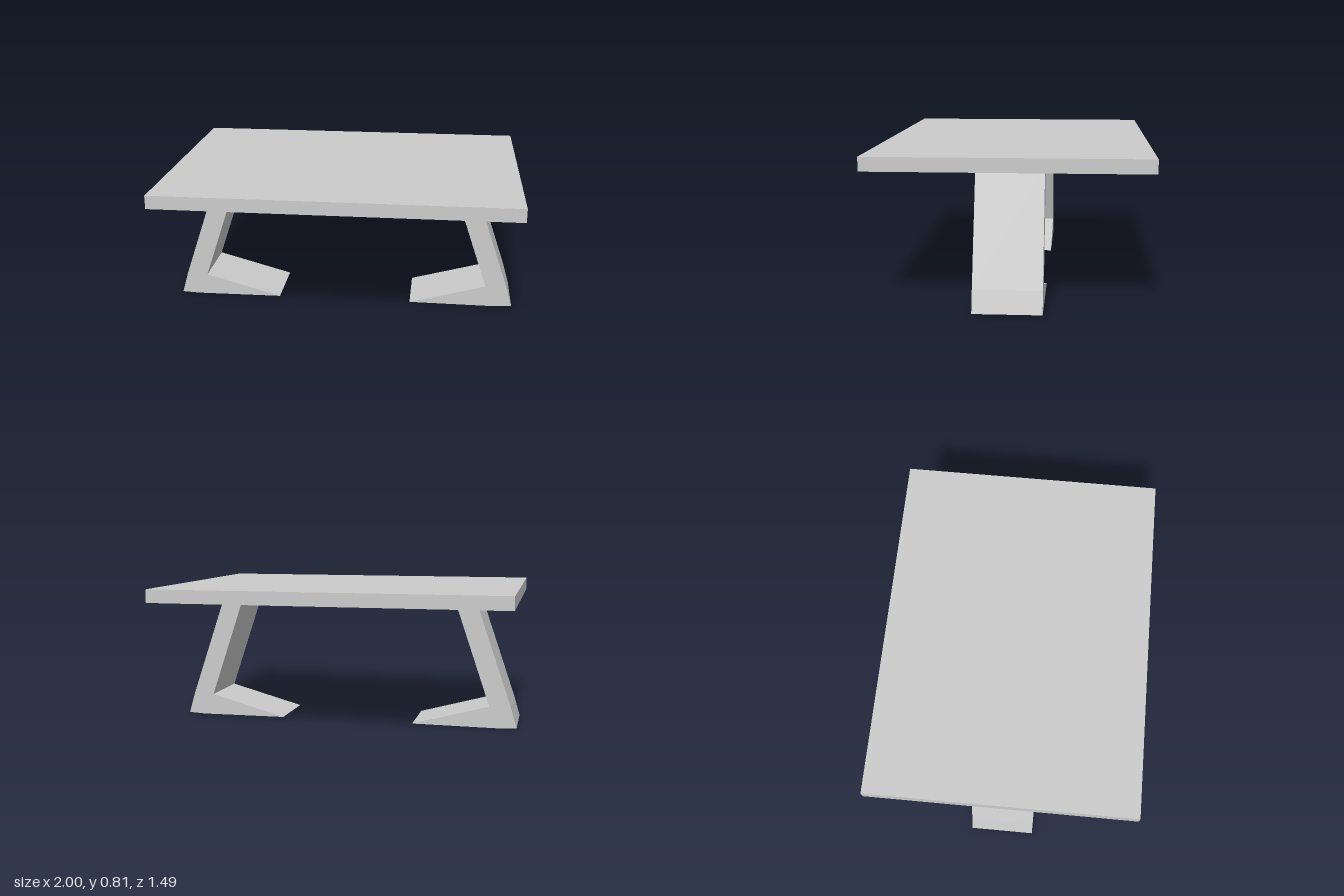
import * as THREE from 'three';

const TOP_Y = 0.81, TOP_THICKNESS = 0.075, LEG_WIDTH = 0.365;

// Leg outline for the +x side: slanted post above a wedge-shaped foot
const LEG_PROFILE = [
  [0.635, 0.735], [0.842, 0.125], [0.395, 0.003], [0.9, 0],
  [1, 0.005], [0.965, 0.125], [0.756, 0.735],
];

function createLeg(side, material) {
  const shape = new THREE.Shape(LEG_PROFILE.map(([x, y]) => new THREE.Vector2(side * x, y)));
  const geometry = new THREE.ExtrudeGeometry(shape, { depth: LEG_WIDTH, bevelEnabled: false });
  geometry.translate(0, 0, -LEG_WIDTH / 2);
  const leg = new THREE.Mesh(geometry, material);
  leg.name = side > 0 ? 'leftLeg' : 'rightLeg';
  return leg;
}

export function createModel() {
  const model = new THREE.Group();
  model.name = 'table';
  const material = new THREE.MeshStandardMaterial({ color: 0xcccccc, flatShading: true });

  // Flat rectangular slab
  const top = new THREE.Mesh(new THREE.BoxGeometry(2, TOP_THICKNESS, 1.492), material);
  top.name = 'tableTop';
  top.position.y = TOP_Y - TOP_THICKNESS / 2;
  model.add(top);

  // Mirrored pair of legs
  for (const side of [1, -1]) model.add(createLeg(side, material));
  return model;
}
